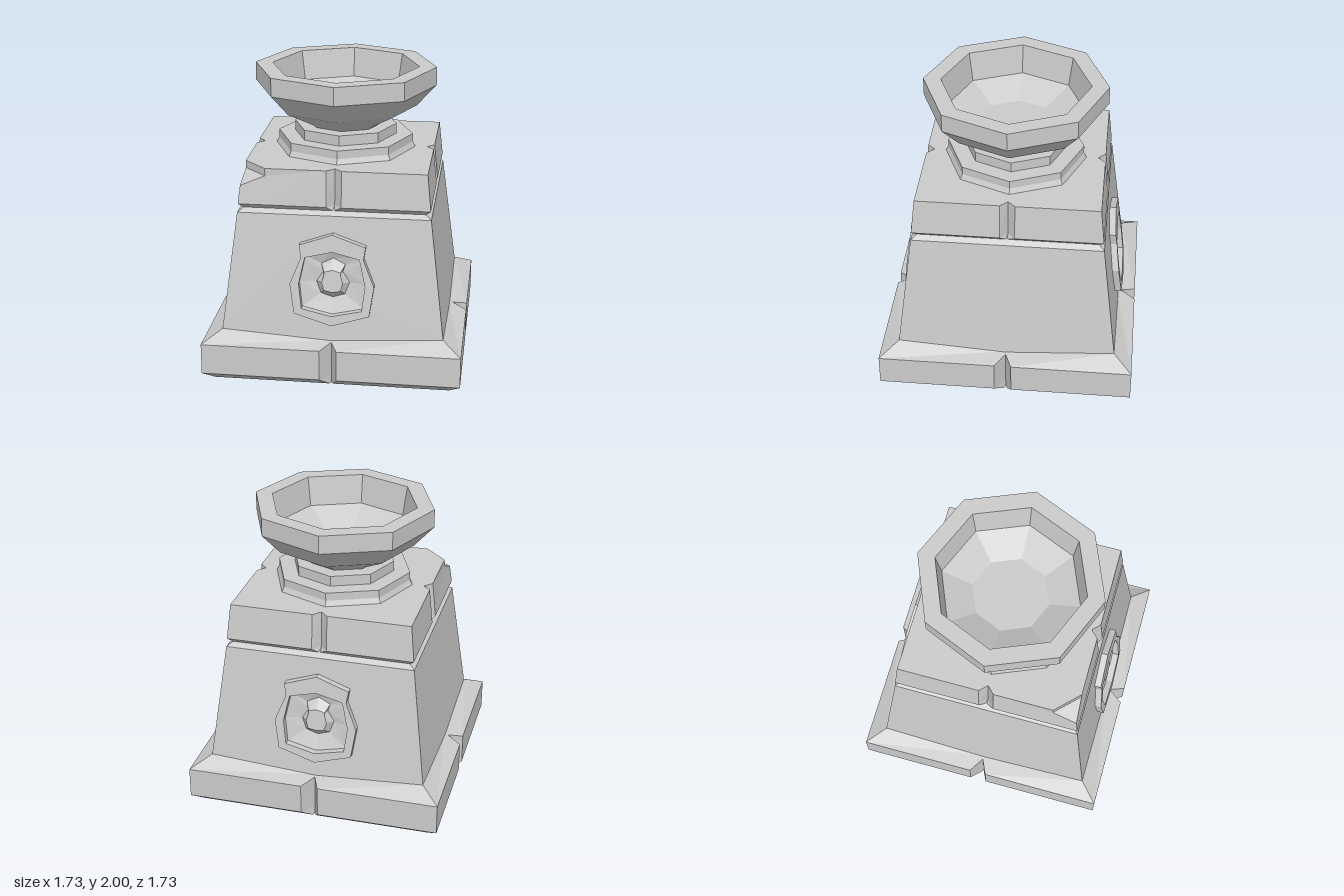
import * as THREE from 'three';

const stone = new THREE.MeshStandardMaterial({ color: 0xcccccc, flatShading: true, side: THREE.DoubleSide });

function mesh(name, geometry) {
  const m = new THREE.Mesh(geometry, stone);
  m.name = name;
  return m;
}

// Joins closed loops of [x, y, z] points, optionally closing the last one with a fan
function loft(loops, closed) {
  const pos = [];
  const n = loops[0].length;
  const tri = (a, b, c) => {
    const area = new THREE.Triangle(...[a, b, c].map((p) => new THREE.Vector3(...p))).getArea();
    if (area > 1e-7) pos.push(...a, ...b, ...c);
  };
  for (let k = 0; k + 1 < loops.length; k++) {
    for (let i = 0; i < n; i++) {
      const j = (i + 1) % n;
      tri(loops[k][i], loops[k][j], loops[k + 1][j]);
      tri(loops[k][i], loops[k + 1][j], loops[k + 1][i]);
    }
  }
  if (closed) {
    const last = loops[loops.length - 1];
    const centre = [0, 1, 2].map((c) => last.reduce((s, p) => s + p[c], 0) / n);
    last.forEach((p, i) => tri(p, last[(i + 1) % n], centre));
  }
  const g = new THREE.BufferGeometry();
  g.setAttribute('position', new THREE.Float32BufferAttribute(pos, 3));
  g.computeVertexNormals();
  return g;
}

// Square loop with a V notch in the middle of every side
function ring(h, y, left, right, apex, apexY = y, edgeY = y) {
  const pts = [];
  for (let k = 0; k < 4; k++) {
    const side = [[-h, y, h], [-left, edgeY, h], [0, apexY, apex], [right, edgeY, h]];
    for (let [x, py, z] of side) {
      for (let r = 0; r < k; r++) [x, z] = [z, -x];
      pts.push([x, py, z]);
    }
  }
  return pts;
}

// Adds the two points either side of the front corner that is chipped
function chipRing(...args) {
  const pts = ring(...args);
  const [h, y] = args;
  pts.splice(1, 0, [-0.455, y, h]);
  pts.push([-h, y, 0.455]);
  return pts;
}

function capLoops() {
  const loops = [
    chipRing(0.64, 1.14, 0.01, 0.01, 0.64),
    chipRing(0.603, 1.165, 0.01, 0.01, 0.6),
    chipRing(0.635, 1.197, 0.05, 0.05, 0.575),
  ];
  const top = chipRing(0.61, 1.44, 0.05, 0.05, 0.56);
  const end = top.length - 1;
  const mid = (top[1][0] + top[end][0]) / 2;
  const withChip = (corner, y) => top.map((p, i) =>
    i === 0 ? corner : i === 1 || i === end ? [p[0], y, p[2]] : p);
  loops.push(
    withChip([-0.62, 1.32, 0.62], 1.39),
    withChip([mid, 1.39, -mid], 1.39),
    withChip([mid, 1.44, -mid], 1.44),
  );
  return loops;
}

// Sloping wall of the body
const wallZ = (y) => 0.74 - (y - 0.34) * 0.125;

// Right halves of the emblem outlines, from top to bottom
const OUTER = [[0, 1.03], [0.22, 0.955], [0.207, 0.87], [0.28, 0.69], [0.25, 0.49], [0, 0.415]];
const INNER = [[0, 0.915], [0.18, 0.872], [0.19, 0.83], [0.22, 0.69], [0.2, 0.525], [0, 0.48]];
const BOSS = [[0, 0.85], [0.08, 0.81], [0.065, 0.76], [0.11, 0.69], [0.08, 0.61], [0, 0.585]];
const BOSS_TOP = [[0, 0.785], [0.055, 0.77], [0.055, 0.75], [0.07, 0.7], [0.055, 0.645], [0, 0.635]];

// Mirrors a half outline into a full counter-clockwise one
const mirrored = (half) => [
  ...half.map(([x, y]) => [-x, y]),
  ...half.slice(1, -1).reverse(),
];

function wall(pierced) {
  const shape = new THREE.Shape(
    [[-0.74, 0.34], [0, 0.295], [0.74, 0.34], [0.64, 1.14], [-0.64, 1.14]].map((p) => new THREE.Vector2(...p)));
  if (pierced) shape.holes.push(new THREE.Path(mirrored(OUTER).map((p) => new THREE.Vector2(...p))));
  const g = new THREE.ShapeGeometry(shape);
  const p = g.attributes.position;
  for (let i = 0; i < p.count; i++) p.setZ(i, wallZ(p.getY(i)));
  g.computeVertexNormals();
  return g;
}

function emblem() {
  const loop = (half, depth) => mirrored(half).map(([x, y]) => [x, y, wallZ(y) + depth]);
  return loft([
    loop(OUTER, 0), loop(OUTER, 0.045), loop(INNER, 0.045),
    loop(INNER, 0.0), loop(BOSS, -0.03), loop(BOSS_TOP, 0.02),
  ], true);
}

function octagon(name, profile) {
  return mesh(name, new THREE.LatheGeometry(profile.map((p) => new THREE.Vector2(...p)), 8));
}

export function createModel() {
  const model = new THREE.Group();

  // Notched plinth, open underneath
  model.add(mesh('plinth', loft([
    ring(0.79, 0, 0.01, 0.01, 0.765),
    ring(0.865, 0.06, 0.07, 0.045, 0.765),
    ring(0.865, 0.27, 0.07, 0.045, 0.765, 0.292),
    ring(0.74, 0.34, 0.01, 0.01, 0.745, 0.295, 0.296),
  ])));

  // Tapered body, with emblems on the front and back
  for (let k = 0; k < 4; k++) {
    const side = new THREE.Group();
    side.name = ['frontSide', 'leftSide', 'backSide', 'rightSide'][k];
    side.add(mesh('wall', wall(k % 2 === 0)));
    if (k % 2 === 0) side.add(mesh('emblem', emblem()));
    side.rotation.y = (k * Math.PI) / 2;
    model.add(side);
  }

  // Notched cap with one chipped corner
  model.add(mesh('cap', loft(capLoops(), true)));

  // Stepped octagonal foot and bowl
  model.add(octagon('steps', [
    [0.48, 1.44], [0.462, 1.475], [0.462, 1.53], [0.35, 1.53], [0.35, 1.6], [0, 1.6],
  ]));
  model.add(octagon('bowl', [
    [0.25, 1.6], [0.265, 1.615], [0.485, 1.73], [0.617, 1.875], [0.617, 2],
    [0.5, 2], [0.465, 1.8], [0.26, 1.7], [0, 1.7],
  ]));
  return model;
}
